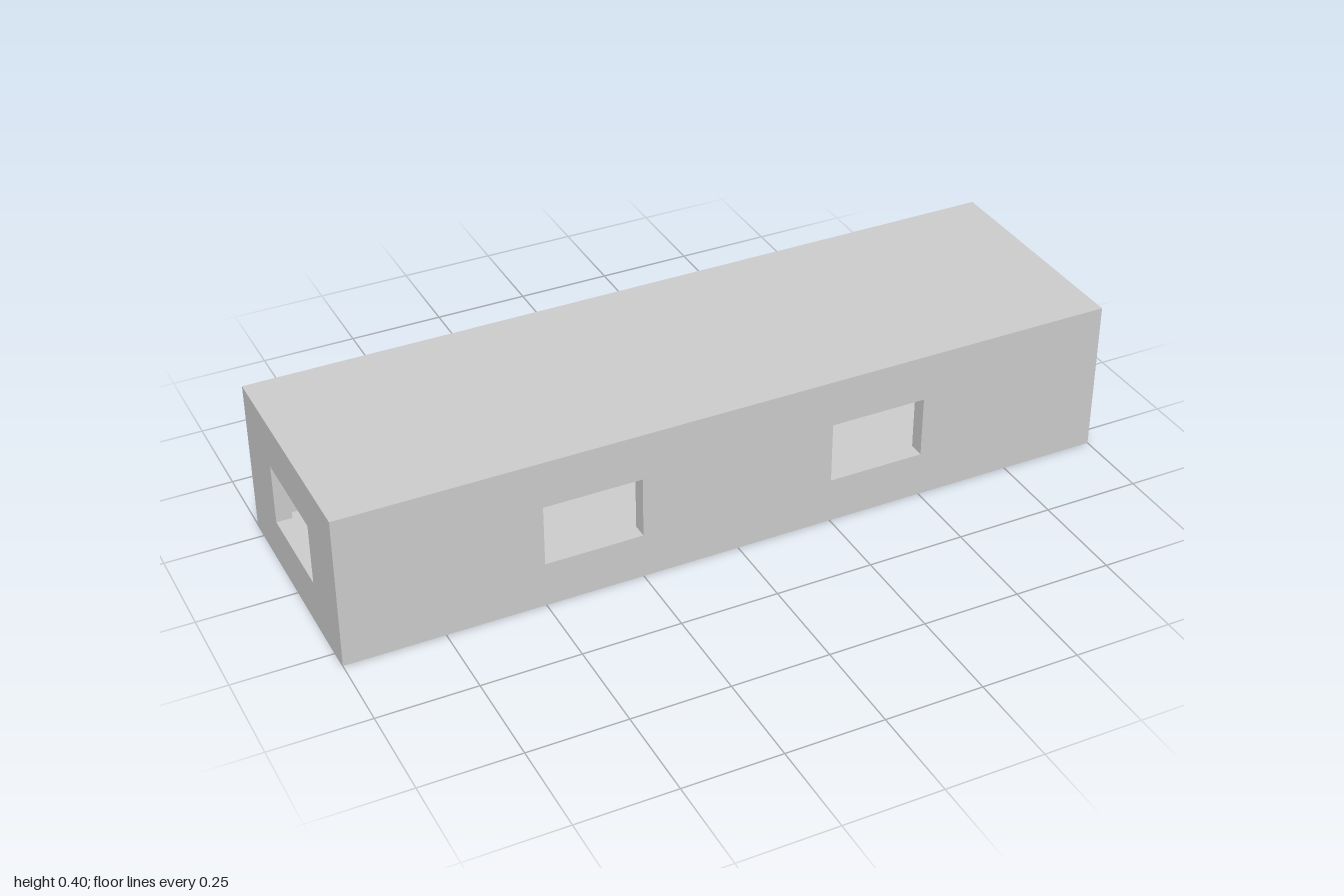
import * as THREE from 'three';
import { mergeGeometries } from 'three/addons/utils/BufferGeometryUtils.js';

const OUT = { x: [-1, 1], y: [0, 0.4], z: [-0.3, 0.3] };
const IN = { x: [-0.96, 1], y: [0.038, 0.355], z: [-0.26, 0.26] }; // open at +x
const HOLE_Y = [0.118, 0.278];

function trace(path, [u0, u1], [v0, v1]) {
  path.moveTo(u0, v0).lineTo(u1, v0).lineTo(u1, v1).lineTo(u0, v1).closePath();
  return path;
}

// Flat rectangle with holes across one axis (0 x, 1 y, 2 z); u and v run along the next two axes.
function sheet(axis, pos, sign, u, v, holes = []) {
  const shape = trace(new THREE.Shape(), u, v);
  holes.forEach(([hu, hv]) => shape.holes.push(trace(new THREE.Path(), hu, hv)));
  const geo = new THREE.ShapeGeometry(shape);
  const p = geo.attributes.position, n = geo.attributes.normal;
  for (let i = 0; i < p.count; i++) {
    const a = p.getX(i), b = p.getY(i);
    n.setXYZ(i, 0, 0, 0);
    p.setComponent(i, axis, pos);
    p.setComponent(i, (axis + 1) % 3, a);
    p.setComponent(i, (axis + 2) % 3, b);
    n.setComponent(i, axis, sign);
  }
  if (sign < 0) geo.index.array.reverse();
  return geo;
}

// The four faces lining a hole through a wall that spans depth d.
function reveal(axis, d, [u, v]) {
  const b = (axis + 1) % 3, c = (axis + 2) % 3;
  return [0, 1].flatMap((i) => [
    sheet(b, u[i], i ? -1 : 1, v, d),
    sheet(c, v[i], i ? -1 : 1, d, u),
  ]);
}

export function createModel() {
  const model = new THREE.Group();
  const material = new THREE.MeshStandardMaterial({ color: 0xcccccc });
  const add = (name, parts) => {
    const mesh = new THREE.Mesh(mergeGeometries(parts), material);
    mesh.name = name;
    model.add(mesh);
  };

  // Long walls, each with two windows
  const windows = [[[-0.5, -0.25], HOLE_Y], [[0.25, 0.5], HOLE_Y]];
  for (const [name, s] of [['frontWall', 1], ['backWall', -1]]) {
    const depth = s > 0 ? [IN.z[1], OUT.z[1]] : [OUT.z[0], IN.z[0]];
    add(name, [
      sheet(2, s * OUT.z[1], s, OUT.x, OUT.y, windows),
      sheet(2, s * IN.z[1], -s, IN.x, IN.y, windows),
      ...windows.flatMap((w) => reveal(2, depth, w)),
    ]);
  }

  // Closed end with one window
  const endWindow = [HOLE_Y, [-0.13, 0.13]];
  add('endWall', [
    sheet(0, OUT.x[0], -1, OUT.y, OUT.z, [endWindow]),
    sheet(0, IN.x[0], 1, IN.y, IN.z, [endWindow]),
    ...reveal(0, [OUT.x[0], IN.x[0]], endWindow),
  ]);

  // Roof and floor slabs
  add('roof', [sheet(1, OUT.y[1], 1, OUT.z, OUT.x), sheet(1, IN.y[1], -1, IN.z, IN.x)]);
  add('floor', [sheet(1, OUT.y[0], -1, OUT.z, OUT.x), sheet(1, IN.y[0], 1, IN.z, IN.x)]);

  // Rim around the open end
  add('openEndRim', [sheet(0, OUT.x[1], 1, OUT.y, OUT.z, [[IN.y, IN.z]])]);

  return model;
}
